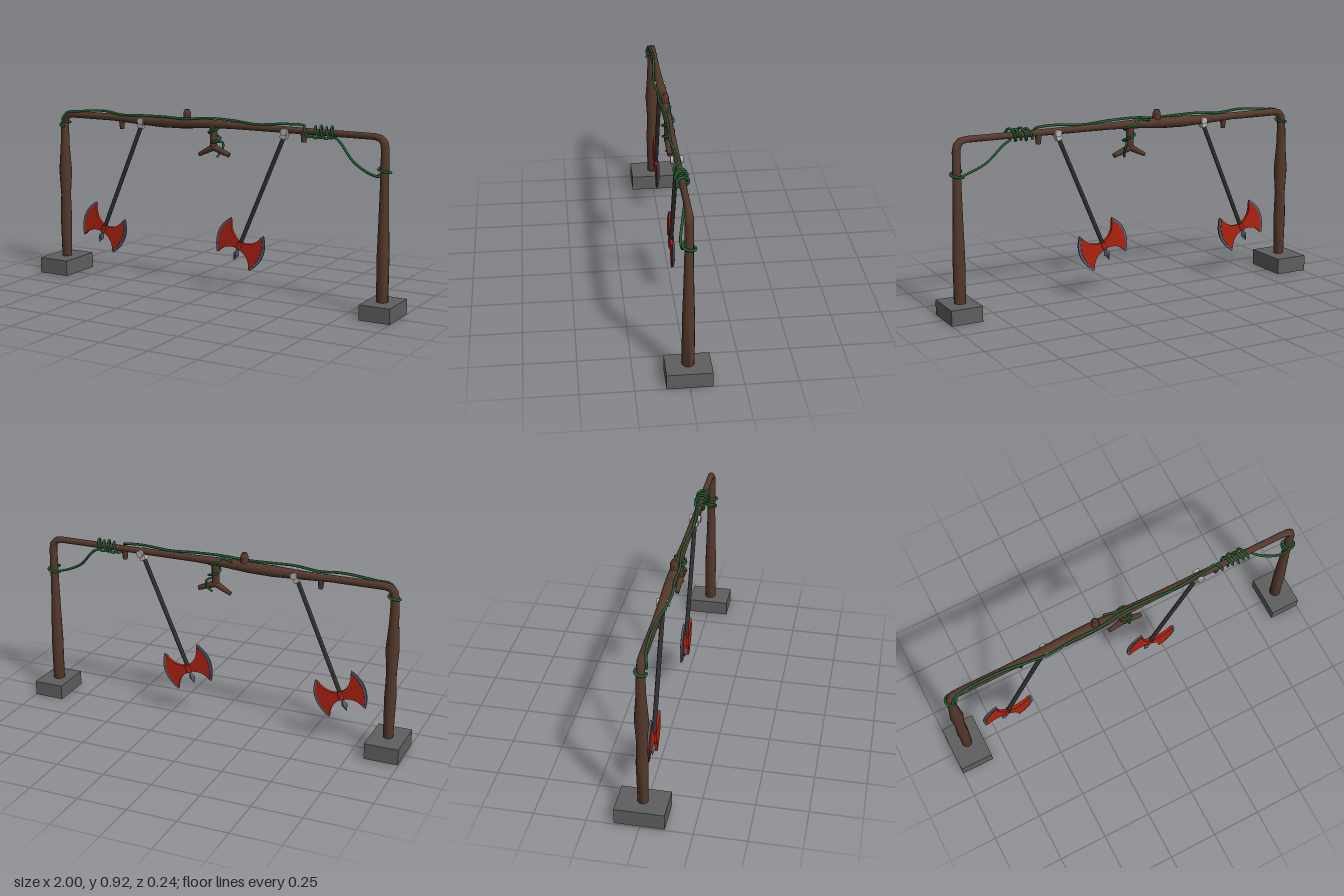
import * as THREE from 'three';

const mat = (name, color, side = THREE.FrontSide) => {
  const m = new THREE.MeshStandardMaterial({ color, side });
  m.name = name;
  return m;
};
const V = (x, y, z = 0) => new THREE.Vector3(x, y, z);

export function createModel() {
  const wood = mat('brown wood', 0x54382b);
  const stone = mat('grey stone', 0x5f5f5f, THREE.DoubleSide);
  const red = mat('red blade', 0xae2210);
  const steel = mat('blue steel', 0x4f6172);
  const shaft = mat('dark shaft', 0x303030);
  const pale = mat('pale metal', 0xb2b2ae);
  const green = mat('green vine', 0x215c33);

  const model = new THREE.Group();
  model.name = 'axeTrapFrame';
  const add = (parent, name, geo, material) => {
    const mesh = new THREE.Mesh(geo, material);
    mesh.name = name;
    parent.add(mesh);
    return mesh;
  };

  // Tapered round bar between two points
  const bar = (parent, name, a, b, r0, r1, material, sides = 10) => {
    const dir = b.clone().sub(a);
    const mesh = add(parent, name, new THREE.CylinderGeometry(r1, r0, dir.length(), sides), material);
    mesh.position.copy(a).lerp(b, 0.5);
    mesh.quaternion.setFromUnitVectors(V(0, 1, 0), dir.normalize());
    return mesh;
  };

  // Trunk of varying radius along a path in the xy plane; rows are [x, y, radius]
  const trunk = (rows, sides = 12) => {
    const pos = [], idx = [];
    rows.forEach(([x, y, r], i) => {
      const p = rows[Math.max(i - 1, 0)], q = rows[Math.min(i + 1, rows.length - 1)];
      const t = V(q[0] - p[0], q[1] - p[1]).normalize();
      for (let j = 0; j < sides; j++) {
        const a = (j / sides) * Math.PI * 2, c = Math.cos(a) * r;
        pos.push(x - t.y * c, y + t.x * c, Math.sin(a) * r);
        if (i === 0) continue;
        const k = (j + 1) % sides, lo = (i - 1) * sides, hi = i * sides;
        idx.push(lo + j, lo + k, hi + j, lo + k, hi + k, hi + j);
      }
    });
    for (let j = 1; j < sides - 1; j++) {
      const e = (rows.length - 1) * sides;
      idx.push(0, j + 1, j, e, e + j, e + j + 1);
    }
    const g = new THREE.BufferGeometry();
    g.setAttribute('position', new THREE.Float32BufferAttribute(pos, 3));
    g.setIndex(idx);
    g.computeVertexNormals();
    return g;
  };

  // Hollow stone bases, open underneath
  const base = (name, x, w, y0, y1, d) => {
    const g = new THREE.BoxGeometry(w, y1 - y0, d);
    g.setIndex([...g.index.array].filter((_, i) => i < 18 || i >= 24));
    g.clearGroups();
    add(model, name, g, stone).position.set(x, (y0 + y1) / 2, 0);
  };
  base('rightBase', -0.915, 0.17, 0.006, 0.087, 0.238);
  base('leftBase', 0.922, 0.156, 0, 0.075, 0.212);

  // Posts and beam as one bent trunk
  add(model, 'woodenFrame', trunk([
    [-0.913, 0.06, 0.025], [-0.913, 0.3, 0.03], [-0.912, 0.42, 0.026], [-0.911, 0.55, 0.034],
    [-0.911, 0.68, 0.024], [-0.91, 0.8, 0.021], [-0.904, 0.832, 0.02], [-0.888, 0.85, 0.02],
    [-0.86, 0.856, 0.019], [-0.6, 0.855, 0.018], [-0.45, 0.851, 0.022], [-0.3, 0.85, 0.028],
    [-0.18, 0.852, 0.028], [-0.05, 0.857, 0.023], [0.1, 0.858, 0.018], [0.5, 0.856, 0.016],
    [0.86, 0.855, 0.016], [0.89, 0.849, 0.018], [0.908, 0.83, 0.02], [0.914, 0.8, 0.02],
    [0.914, 0.62, 0.021], [0.915, 0.46, 0.025], [0.916, 0.3, 0.03], [0.917, 0.055, 0.029],
  ]), wood);

  // Broken twigs and the forked branch
  bar(model, 'topKnot', V(-0.152, 0.85), V(-0.152, 0.905), 0.021, 0.02, wood);
  bar(model, 'topKnotCap', V(-0.152, 0.905), V(-0.152, 0.922), 0.02, 0.012, wood);
  bar(model, 'twigStub', V(-0.545, 0.855), V(-0.545, 0.797), 0.018, 0.011, wood);
  bar(model, 'twigStub', V(0.497, 0.855), V(0.497, 0.802), 0.018, 0.012, wood);
  bar(model, 'branchStem', V(0, 0.855), V(0, 0.735), 0.02, 0.018, wood);
  bar(model, 'branchFork', V(0.005, 0.745), V(-0.082, 0.7), 0.018, 0.01, wood);
  bar(model, 'branchFork', V(-0.005, 0.745), V(0.09, 0.708), 0.018, 0.012, wood);

  // Blade outline and the steel strip along its cutting edge
  const plate = (shape, depth) => new THREE.ExtrudeGeometry(shape, { depth, bevelEnabled: false, curveSegments: 10 })
    .translate(0, 0, -depth / 2);
  const blade = new THREE.Shape();
  blade.moveTo(0, -0.018);
  blade.quadraticCurveTo(0.07, -0.022, 0.094, -0.085);
  blade.quadraticCurveTo(0.152, 0.018, 0.092, 0.1);
  blade.quadraticCurveTo(0.07, 0.028, 0, 0.018);
  const edge = new THREE.Shape();
  edge.moveTo(0.094, -0.085);
  edge.lineTo(0.1, -0.092);
  edge.quadraticCurveTo(0.172, 0.018, 0.098, 0.11);
  edge.lineTo(0.092, 0.1);
  edge.quadraticCurveTo(0.152, 0.018, 0.094, -0.085);
  const bladeGeo = plate(blade, 0.016), edgeGeo = plate(edge, 0.01);

  // Swinging double axes
  for (const x of [-0.415, 0.402]) {
    const axe = new THREE.Group();
    axe.name = 'swingingAxe';
    axe.position.set(x, 0.848, 0);
    axe.rotation.z = -0.404;
    model.add(axe);
    bar(axe, 'pivotPin', V(0, 0, -0.03), V(0, 0, 0.03), 0.018, 0.018, pale, 8);
    add(axe, 'pivotSocket', new THREE.BoxGeometry(0.03, 0.045, 0.034), pale).position.y = -0.015;
    bar(axe, 'handle', V(0, -0.02), V(0, -0.655), 0.011, 0.011, shaft, 8);
    const head = new THREE.Group();
    head.name = 'axeHead';
    head.position.y = -0.64;
    axe.add(head);
    for (const turn of [0, Math.PI]) {
      add(head, 'blade', bladeGeo, red).rotation.y = turn;
      add(head, 'cuttingEdge', edgeGeo, steel).rotation.y = turn;
    }
    bar(head, 'hub', V(0, -0.02), V(0, 0.02), 0.015, 0.015, red, 8);
    const spike = add(head, 'spike', new THREE.OctahedronGeometry(1).scale(0.017, 0.038, 0.014), steel);
    spike.position.y = -0.048;
  }

  // Vines: smooth tubes through a few points and coils
  const vine = (name, pts, r = 0.0065) => add(model, name, new THREE.TubeGeometry(
    new THREE.CatmullRomCurve3(pts), pts.length * 4, r, 6), green);
  // Coil from a to b around the x axis (beam) or y axis (post)
  const coil = (a, b, r, turns, axis, start = 0) => {
    const n = Math.ceil(turns * 6);
    return Array.from({ length: n + 1 }, (_, i) => {
      const t = start + (i / n) * turns * Math.PI * 2, p = a.clone().lerp(b, i / n);
      const c = Math.cos(t) * r, s = Math.sin(t) * r;
      return p.add(axis === 'x' ? V(0, c, s) : V(c, 0, s));
    });
  };
  vine('beamVine', [
    ...coil(V(-0.908, 0.79), V(-0.905, 0.82), 0.027, 1.1, 'y', 1),
    V(-0.88, 0.865, 0.018), V(-0.82, 0.873, 0.01), V(-0.65, 0.886, 0.012), V(-0.53, 0.874, 0.022),
    V(-0.4, 0.88, 0.036), V(-0.27, 0.88, 0.026), V(-0.15, 0.877, 0.026), V(-0.03, 0.887, 0.012),
    V(0.12, 0.884, 0.01), V(0.25, 0.874, 0.016), V(0.4, 0.885, 0.008),
    ...coil(V(0.5, 0.856), V(0.65, 0.856), 0.026, 2.6, 'x'),
    V(0.68, 0.815, -0.01), V(0.76, 0.732, 0.012), V(0.85, 0.685, 0.03),
    ...coil(V(0.914, 0.672), V(0.914, 0.71), 0.03, 1.2, 'y', 2.2),
  ]);
  vine('tangledVine', coil(V(0.55, 0.856), V(0.66, 0.858), 0.03, 2, 'x', 2));
  vine('branchVine', [
    V(-0.1, 0.875, -0.022), V(-0.04, 0.88, -0.01),
    ...coil(V(0, 0.86), V(0.008, 0.77), 0.028, 1.6, 'y', 4),
    V(0.035, 0.765, -0.03), V(0.04, 0.73, -0.018), V(0.025, 0.695, 0.012),
  ], 0.006);

  return model;
}
